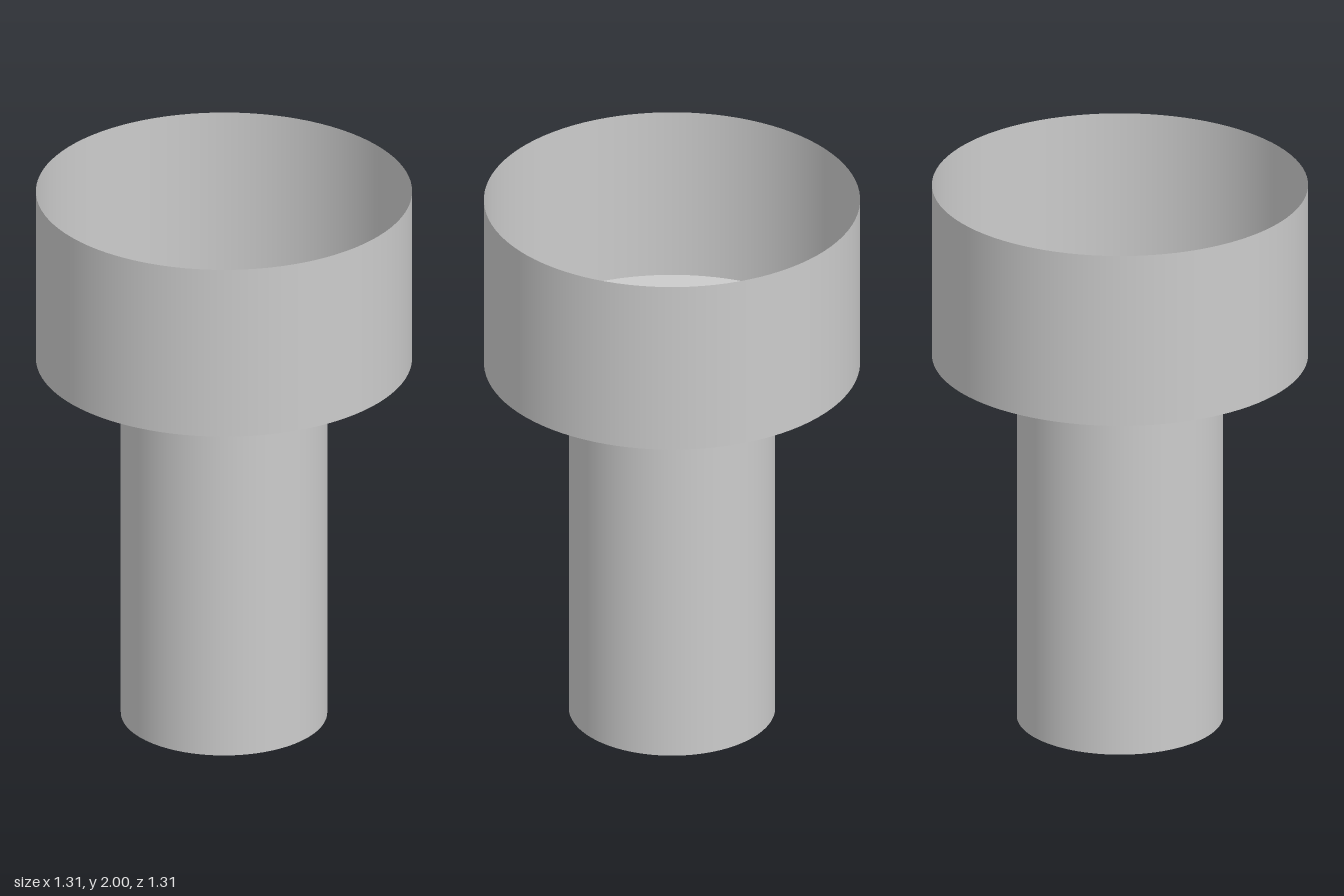
import * as THREE from 'three';

const SEGMENTS = 96;
const CUP_RADIUS = 0.656;
const STEM_RADIUS = 0.36;
const STEP_Y = 1.36;
const TOP_Y = 2;

export function createModel() {
  const model = new THREE.Group();
  model.name = 'steppedSleeve';
  const material = new THREE.MeshStandardMaterial({ color: 0xcccccc, side: THREE.DoubleSide });

  const addPart = (name, geometry, y) => {
    const mesh = new THREE.Mesh(geometry, material);
    mesh.name = name;
    mesh.position.y = y;
    model.add(mesh);
  };

  // Thin open-ended tube between two heights
  const addTube = (name, radius, bottom, top) => addPart(
    name,
    new THREE.CylinderGeometry(radius, radius, top - bottom, SEGMENTS, 1, true),
    (bottom + top) / 2
  );

  // Narrow stem, open at the bottom and into the cup
  addTube('stem', STEM_RADIUS, 0, STEP_Y);

  // Wide cup wall, open at the top
  addTube('cupWall', CUP_RADIUS, STEP_Y, TOP_Y);

  // Flat ring joining stem and cup, facing down
  const ring = new THREE.RingGeometry(STEM_RADIUS, CUP_RADIUS, SEGMENTS);
  ring.rotateX(Math.PI / 2);
  addPart('cupFloor', ring, STEP_Y);

  return model;
}
